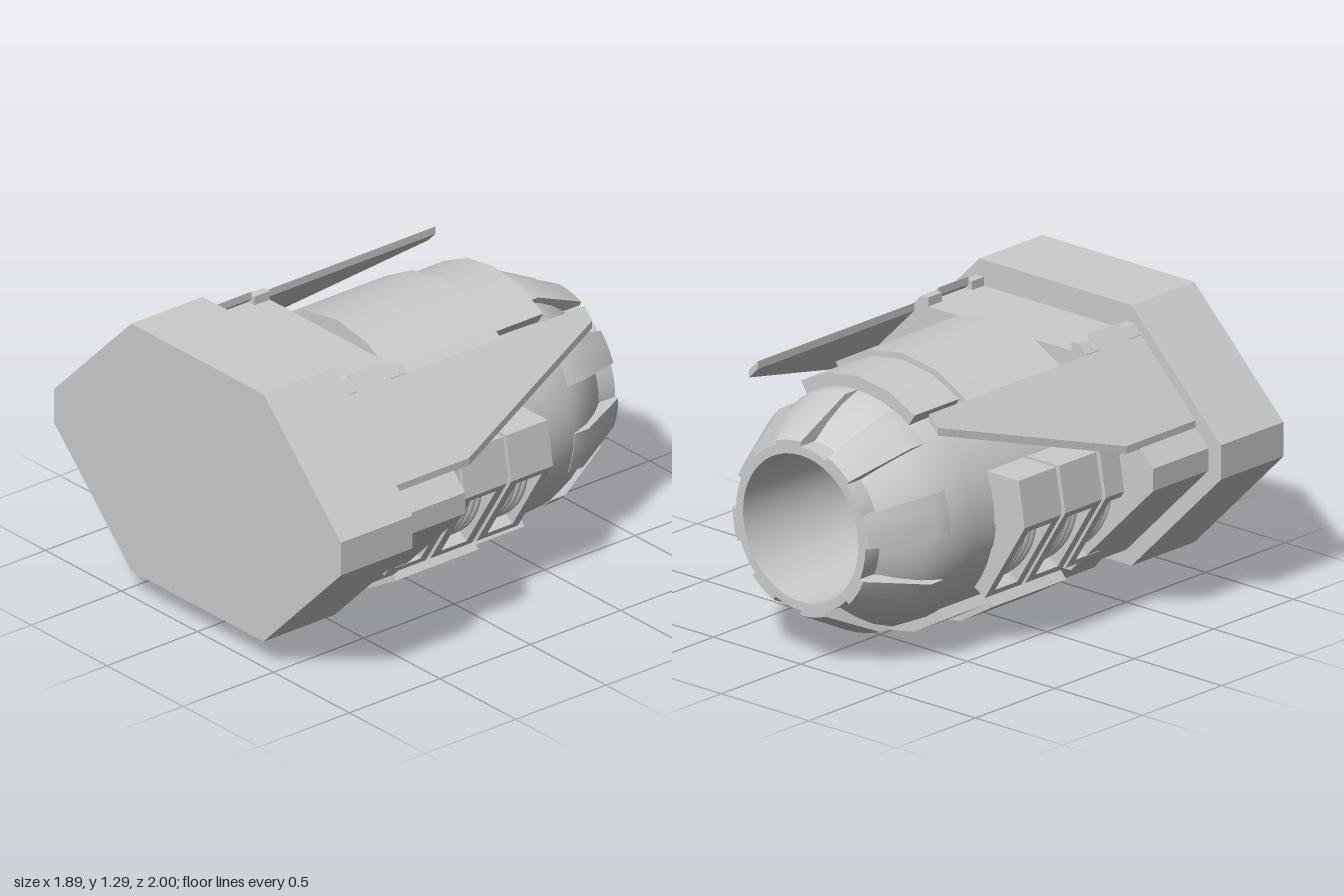
import * as THREE from 'three';
import { toCreasedNormals } from 'three/addons/utils/BufferGeometryUtils.js';

const CY = 0.615; // height of the engine axis
const material = new THREE.MeshStandardMaterial({ color: 0xcccccc });

const shapeOf = pts => new THREE.Shape(pts.map(p => new THREE.Vector2(p[0], p[1])));

// prism with an x/y section running from z0 to z1
function prism(pts, z0, z1) {
  return new THREE.ExtrudeGeometry(shapeOf(pts), { depth: z1 - z0, bevelEnabled: false }).translate(0, 0, z0);
}

// reflect in x and restore the winding
function mirrored(geometry) {
  const g = geometry.index ? geometry.toNonIndexed() : geometry.clone();
  g.scale(-1, 1, 1);
  for (const attr of Object.values(g.attributes)) {
    const n = attr.itemSize, a = attr.array;
    for (let i = 0; i < attr.count; i += 3) {
      for (let k = 0; k < n; k++) {
        const t = a[(i + 1) * n + k];
        a[(i + 1) * n + k] = a[(i + 2) * n + k];
        a[(i + 2) * n + k] = t;
      }
    }
  }
  return g;
}

const bothSides = pts => [...pts, ...pts.slice().reverse().map(([x, y]) => [-x, y])];

// faceted shell sector about the axis, centred on the top (up = 1) or the bottom (up = -1)
function sector(rOut, rIn, half, z0, z1, up) {
  const pts = [], n = 4;
  for (let i = 0; i <= n; i++) {
    const a = -half + (2 * half * i) / n;
    pts.push([rOut * Math.sin(a), CY + up * rOut * Math.cos(a)]);
  }
  for (let i = n; i >= 0; i--) {
    const a = -half + (2 * half * i) / n;
    pts.push([rIn * Math.sin(a), CY + up * rIn * Math.cos(a)]);
  }
  return toCreasedNormals(prism(pts, z0, z1), 0.5);
}

// petal of the nozzle: a box bent round the axis and tapered along three stations
function petal(start, span) {
  const g = new THREE.BoxGeometry(1, 1, 1, 3, 1, 2);
  const p = g.attributes.position;
  const stations = [[-1, 0.35, 0.39], [-0.72, 0.42, 0.53], [-0.64, 0.48, 0.531]];
  for (let i = 0; i < p.count; i++) {
    const [z, rIn, rOut] = stations[Math.round((p.getZ(i) + 0.5) * 2)];
    const a = start + (p.getX(i) + 0.5) * span;
    const r = p.getY(i) > 0 ? rOut : rIn;
    p.setXYZ(i, r * Math.sin(a), CY + r * Math.cos(a), z);
  }
  return toCreasedNormals(g, 0.5);
}

export function createModel() {
  const model = new THREE.Group();
  const add = (name, geometry) => {
    const mesh = new THREE.Mesh(geometry, material);
    mesh.name = name;
    model.add(mesh);
  };
  const addPair = (name, geometry) => {
    add(name + 'Left', geometry);
    add(name + 'Right', mirrored(geometry));
  };

  // mounting block and the smaller collar behind it
  add('mountingBlock', prism(bothSides([[0.435, 0.125], [0.945, 0.635], [0.945, 0.79], [0.435, 1.297]]), 0.605, 1));
  add('collar', prism(bothSides([[0.405, 0.19], [0.875, 0.66], [0.875, 0.76], [0.455, 1.18]]), 0.255, 0.61));
  add('collarKeel', prism(bothSides([[0.22, 0.065], [0.33, 0.2]]), 0.255, 0.61));

  // barrel with hollow nozzle
  const profile = [[0, -0.2], [0.3, -0.2], [0.33, -1], [0.37, -1], [0.37, -0.91], [0.435, -0.83],
    [0.49, -0.74], [0.527, -0.64], [0.535, -0.5], [0.537, 0.3]].map(p => new THREE.Vector2(p[0], p[1]));
  const barrel = new THREE.LatheGeometry(profile, 48).rotateX(Math.PI / 2).translate(0, CY, 0);
  add('barrel', toCreasedNormals(barrel, 0.6));

  // eight nozzle petals
  for (let i = 0; i < 8; i++) add('nozzlePetal' + (i + 1), petal(i * Math.PI / 4, 0.38));

  // stepped covers on the top and the bottom of the barrel
  add('topCover', sector(0.62, 0.5, 0.665, -0.36, 0.23, 1));
  add('topRearCover', sector(0.59, 0.5, 0.585, -0.64, -0.36, 1));
  add('bottomCover', sector(0.61, 0.48, 0.71, -0.22, 0.235, -1));
  add('bottomRearCover', sector(0.585, 0.5, 0.68, -0.5, -0.22, -1));

  // sloping wing plates, drawn in plan and sheared to the 45 degree shoulder
  const plan = [[0.49, 0.605], [0.8, 0.605], [0.8, 0.17], [0.54, -0.73], [0.49, -0.73],
    [0.49, 0.34], [0.43, 0.34], [0.43, 0.53], [0.49, 0.53]].map(([x, z]) => [x, -z]);
  const wing = new THREE.ExtrudeGeometry(shapeOf(plan), { depth: 0.035, bevelEnabled: false }).rotateX(-Math.PI / 2);
  const wp = wing.attributes.position;
  for (let i = 0; i < wp.count; i++) wp.setY(i, wp.getY(i) + 1.632 - wp.getX(i));
  wing.computeVertexNormals();
  addPair('wing', wing);

  // shoulder clips at the wing roots
  for (const [z0, z1] of [[0.255, 0.34], [0.53, 0.605]]) {
    addPair('shoulderClip', prism([[0.41, 1.15], [0.49, 1.12], [0.49, 1.18], [0.45, 1.22], [0.41, 1.22]], z0, z1));
  }

  // side vent modules: recessed core, upper housings, framed windows and curved bars
  addPair('ventCore', prism([[0.3, 0.265], [0.4, 0.265], [0.6, 0.6], [0.69, 0.63], [0.655, 0.81], [0.3, 0.81]], -0.36, 0.3));
  const low = new THREE.Vector3(0.48, 0.25, 0), high = new THREE.Vector3(0.71, 0.62, 0);
  const slope = high.clone().sub(low), len = slope.length();
  slope.normalize();
  const inward = new THREE.Vector3(-slope.y, slope.x, 0);
  const frame = new THREE.Matrix4().makeBasis(new THREE.Vector3(0, 0, 1), slope, inward).setPosition(low);
  for (const z of [0.255, 0, -0.255]) {
    addPair('ventHousing', prism([[0.3, 0.6], [0.64, 0.6], [0.71, 0.62], [0.675, 0.825], [0.3, 0.825]], z - 0.115, z + 0.115));

    const panel = shapeOf([[-0.115, 0], [0.115, 0], [0.115, len], [-0.115, len]]);
    panel.holes.push(new THREE.Path([[-0.07, 0.035], [-0.07, len - 0.035], [0.07, len - 0.035], [0.07, 0.035]]
      .map(p => new THREE.Vector2(p[0], p[1]))));
    const plate = new THREE.ExtrudeGeometry(panel, { depth: 0.09, bevelEnabled: false });
    addPair('ventFrame', plate.applyMatrix4(frame).translate(0, 0, z));

    for (const dz of [-0.036, 0, 0.036]) {
      const path = new THREE.QuadraticBezierCurve3(new THREE.Vector3(dz * 0.7, 0.03, 0.07),
        new THREE.Vector3(dz * 1.2, len / 2, -0.03), new THREE.Vector3(dz * 0.7, len - 0.03, 0.07));
      const bar = new THREE.TubeGeometry(path, 10, 0.014, 6);
      addPair('ventBar', bar.applyMatrix4(frame).translate(0, 0, z));
    }
  }
  return model;
}
